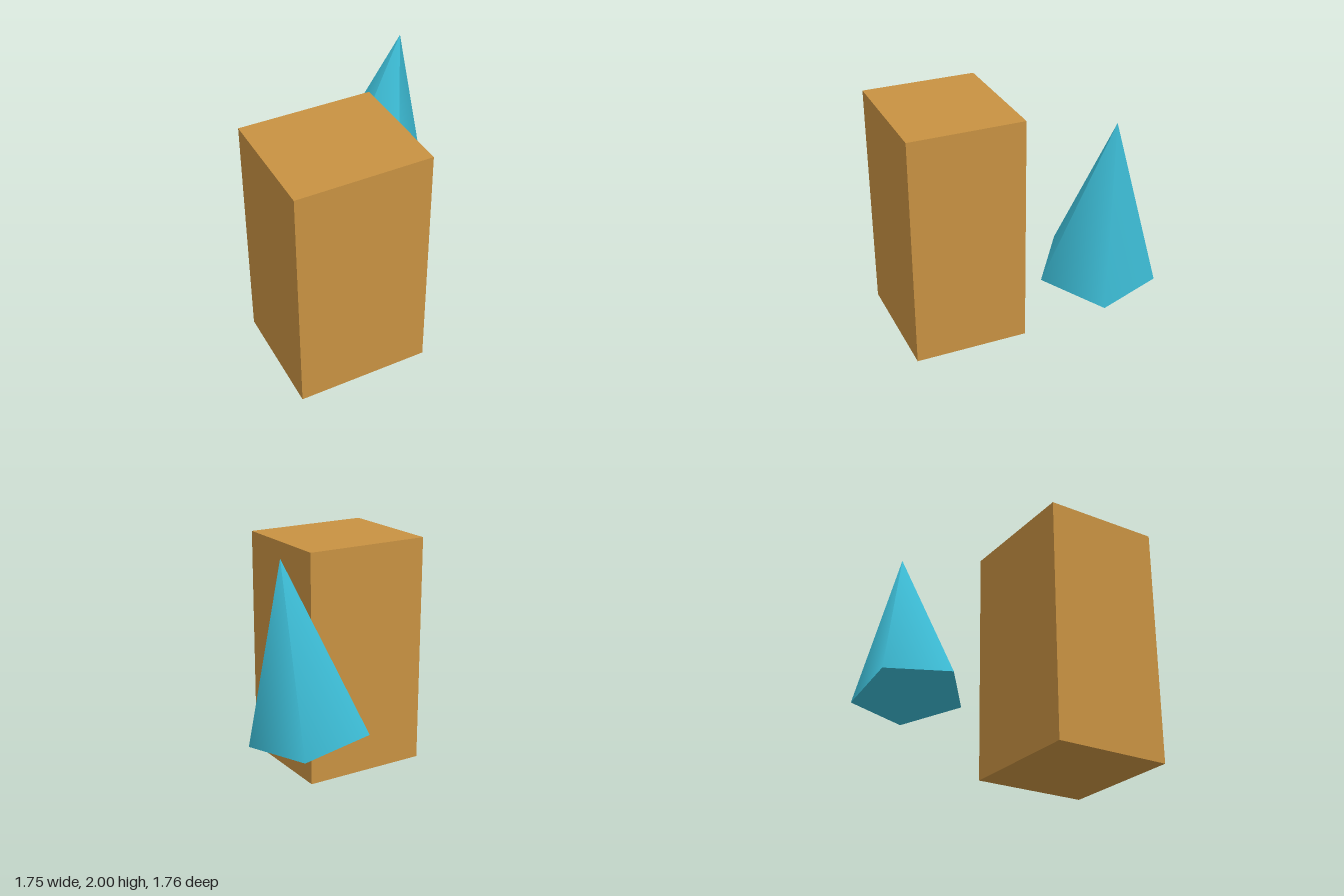
import * as THREE from 'three';

export function createModel() {
  const model = new THREE.Group();

  // Tall box standing on the ground
  const box = new THREE.Mesh(
    new THREE.BoxGeometry(1.036, 1.886, 0.923),
    new THREE.MeshStandardMaterial({ color: 0xc89242 })
  );
  box.name = 'tallBox';
  box.position.set(-0.36, 0.943, 0.4165);
  model.add(box);

  // Five-sided cone with smooth sides, leaning to the model's left behind the box
  const height = 1.334, lean = THREE.MathUtils.degToRad(10);
  const geometry = new THREE.ConeGeometry(0.461, height, 5);
  geometry.translate(0, height / 2, 0);
  const cone = new THREE.Mesh(geometry, new THREE.MeshStandardMaterial({ color: 0x3cbbd4 }));
  cone.name = 'leaningCone';
  cone.position.set(0.443, 0.686, -0.505);
  cone.rotation.z = -lean;
  model.add(cone);

  return model;
}
